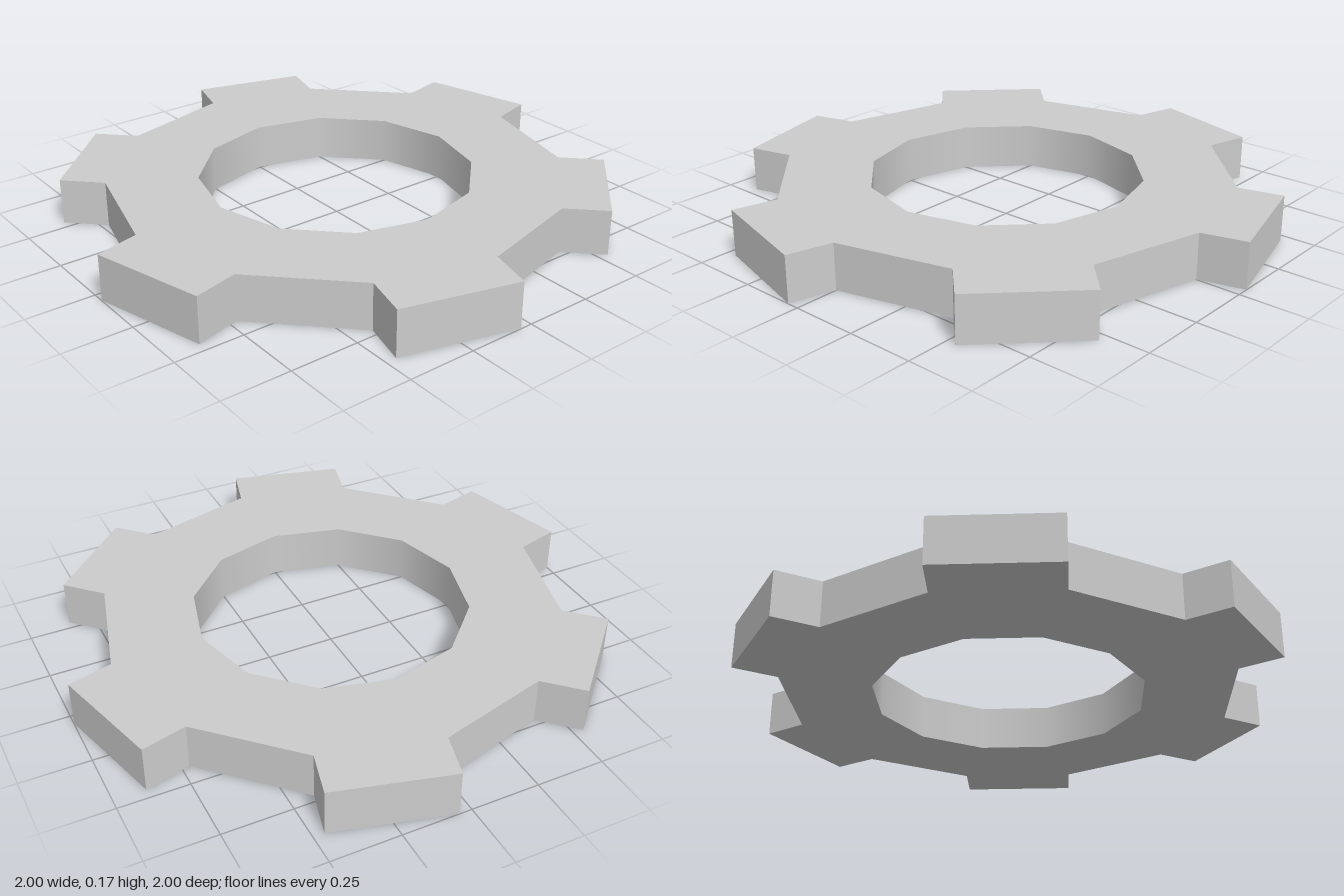
import * as THREE from 'three';

const HEIGHT = 0.17, ROOT = 0.836, TIP = 1.0, BORE = 0.504;

export function createModel() {
  const group = new THREE.Group();
  group.name = 'gear';
  const grey = new THREE.MeshStandardMaterial({ color: 0xcccccc });
  grey.name = 'light grey';

  const polar = (radius, degrees) => {
    const a = THREE.MathUtils.degToRad(degrees);
    return new THREE.Vector2(radius * Math.cos(a), radius * Math.sin(a));
  };

  // Six flat teeth, each over one side of a twelve-sided ring
  const outline = [];
  for (let i = 0; i < 6; i++) {
    const a = i * 60;
    outline.push(polar(ROOT, a), polar(TIP, a + 2.55), polar(TIP, a + 27.45), polar(ROOT, a + 30));
  }
  const shape = new THREE.Shape(outline);

  // Twelve-sided centre hole
  const bore = [];
  for (let i = 0; i < 12; i++) bore.push(polar(BORE, -i * 30));
  shape.holes.push(new THREE.Path(bore));

  const geometry = new THREE.ExtrudeGeometry(shape, { depth: HEIGHT, bevelEnabled: false });
  geometry.rotateX(-Math.PI / 2);

  // Smooth normals on the wall of the hole
  const { position, normal } = geometry.attributes;
  for (let i = 0; i < position.count; i++) {
    const x = position.getX(i), z = position.getZ(i), r = Math.hypot(x, z);
    if (r < 0.6 && Math.abs(normal.getY(i)) < 0.5) normal.setXYZ(i, -x / r, 0, -z / r);
  }

  const wheel = new THREE.Mesh(geometry, grey);
  wheel.name = 'toothedRing';
  group.add(wheel);
  return group;
}
